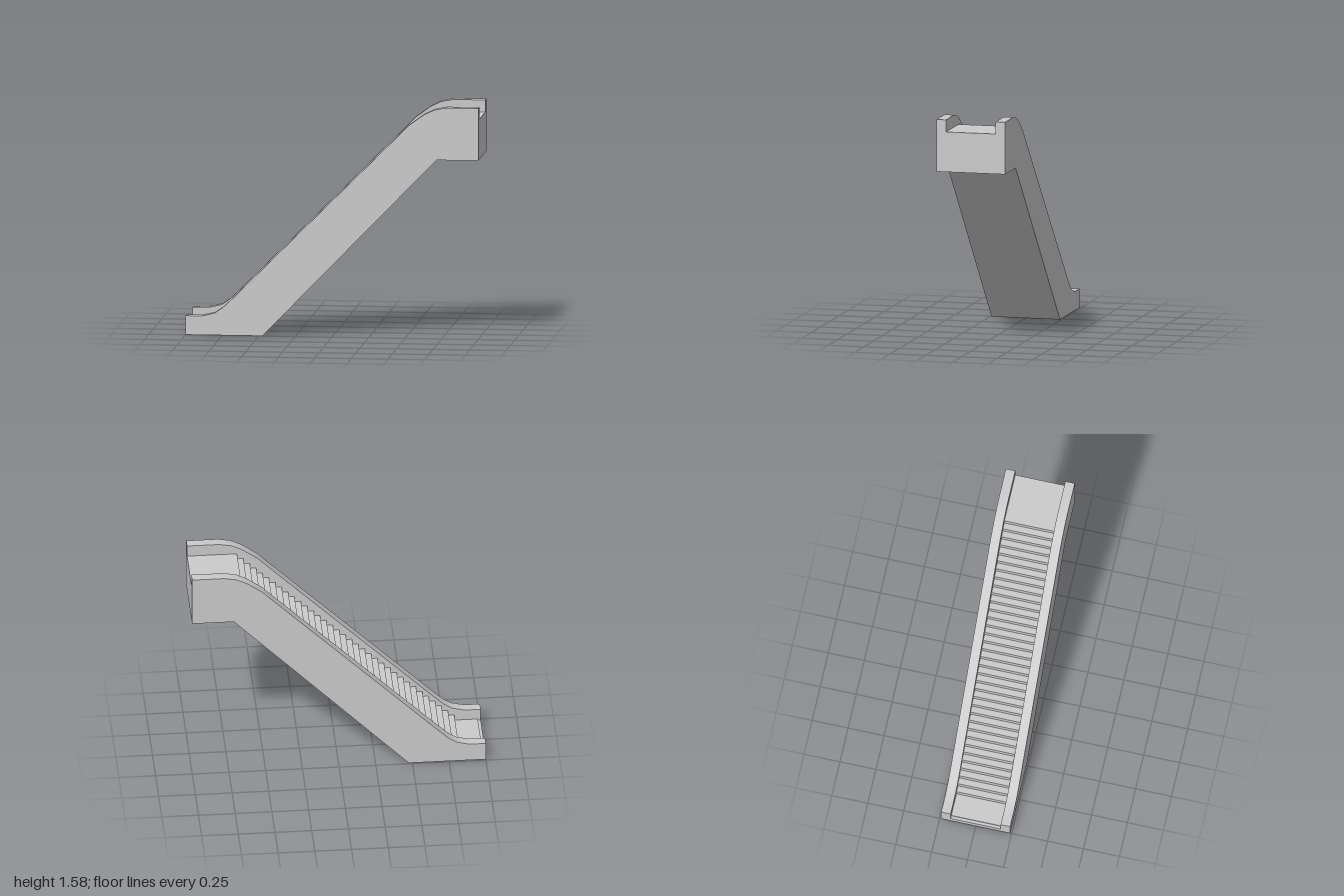
import * as THREE from 'three';
import { toCreasedNormals } from 'three/addons/utils/BufferGeometryUtils.js';

const HALF_WIDTH = 0.24, INNER = 0.174;
const STEPS = 35, STEP_START = -0.82, STEP_END = 0.66;
const LOW = 0.052, HIGH = 1.5;

const material = new THREE.MeshStandardMaterial({ color: 0xcccccc });

// Underside shared by the side walls and the stair body
const underside = [[-1, 0], [-0.475, 0], [0.715, 1.225], [1, 1.225]];

// Extrude a side profile across z
function slab(name, points, z0, z1) {
  const shape = new THREE.Shape(points.map(([x, y]) => new THREE.Vector2(x, y)));
  const geometry = new THREE.ExtrudeGeometry(shape, { depth: z1 - z0, bevelEnabled: false });
  geometry.translate(0, 0, z0);
  const mesh = new THREE.Mesh(toCreasedNormals(geometry, 0.5), material);
  mesh.name = name;
  return mesh;
}

export function createModel() {
  const group = new THREE.Group();
  group.name = 'escalator';

  // Side walls with eased bends at both ends
  const wall = [
    ...underside,
    [1, 1.583], [0.78, 1.583], [0.7, 1.568], [0.63, 1.535], [0.52, 1.455],
    [0.46, 1.393], [-0.68, 0.252], [-0.745, 0.19], [-0.8, 0.152], [-0.89, 0.13], [-1, 0.13],
  ];
  group.add(slab('leftWall', wall, INNER, HALF_WIDTH));
  group.add(slab('rightWall', wall, -HALF_WIDTH, -INNER));

  // Stair body: upper landing, steps from top to bottom, lower landing with a thin sill
  const body = [...underside, [1, HIGH]];
  const rise = (HIGH - LOW) / STEPS;
  const run = (STEP_END - STEP_START) / (STEPS - 1);
  for (let i = 0; i < STEPS; i++) {
    const x = STEP_END - i * run;
    body.push([x, HIGH - i * rise], [x, HIGH - (i + 1) * rise]);
  }
  body.push([-0.98, LOW], [-0.98, LOW - 0.008], [-1, LOW - 0.008]);
  group.add(slab('stepsAndLandings', body, -INNER, INNER));

  return group;
}
